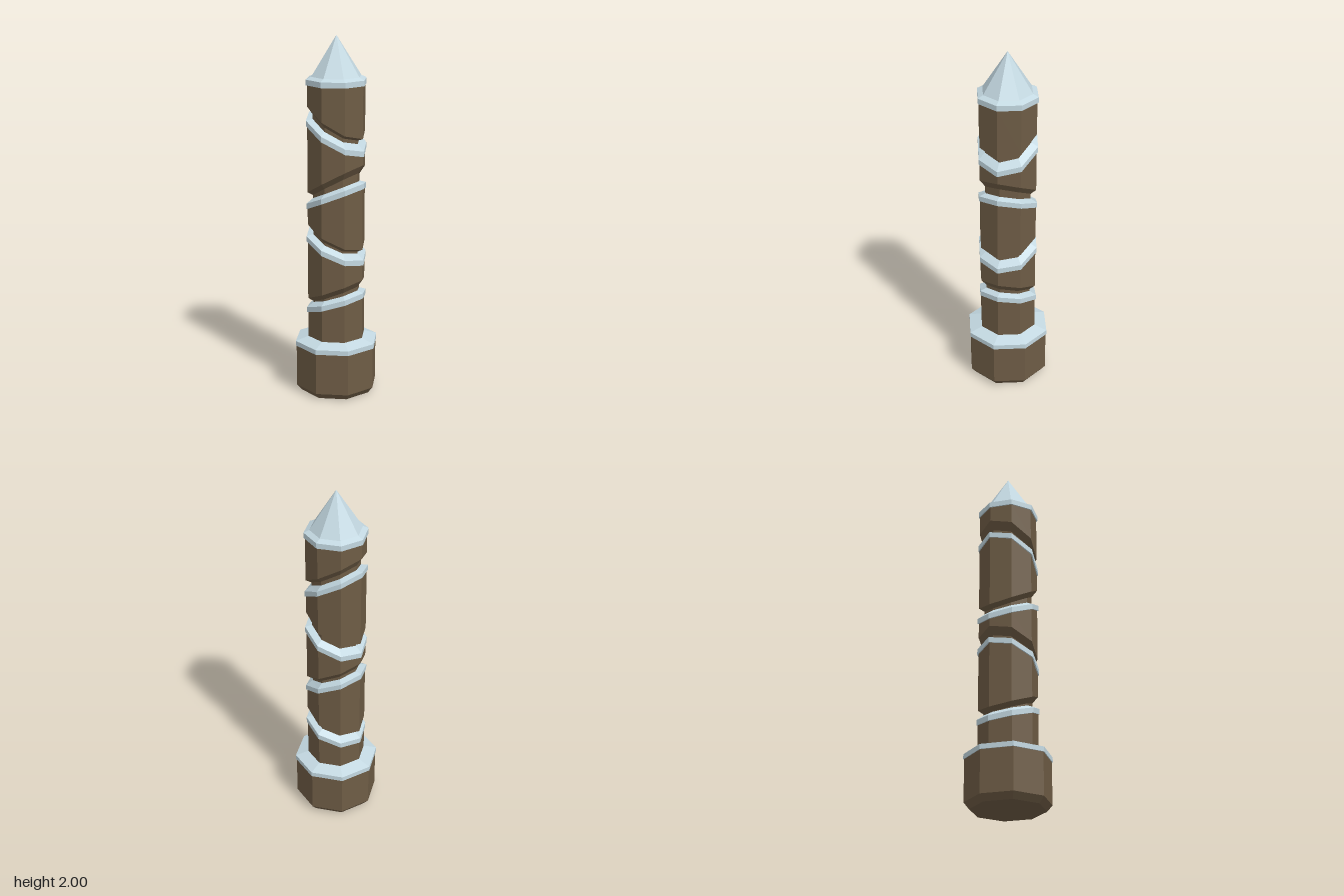
import * as THREE from 'three';

const SIDES = 8;
const wood = new THREE.MeshStandardMaterial({ color: 0x6e5c45 });
wood.name = 'brown wood';
const snow = new THREE.MeshStandardMaterial({ color: 0xc3d8e1 });
snow.name = 'pale snow';

// Faceted skin through octagonal rings [radius, height, tilt], from bottom to top.
// Tilt raises the +x side of the ring and lowers the -x side.
function loft(rings) {
  const point = ([r, y, tilt = 0], i) => {
    const a = ((i % SIDES) / SIDES) * Math.PI * 2;
    return [r * Math.cos(a), y + tilt * Math.cos(a), r * Math.sin(a)];
  };
  const pos = [];
  for (let k = 0; k < rings.length - 1; k++) {
    const lo = rings[k], hi = rings[k + 1];
    for (let i = 0; i < SIDES; i++) {
      const a = point(lo, i), b = point(lo, i + 1), c = point(hi, i + 1), d = point(hi, i);
      if (hi[0] > 0) pos.push(...a, ...d, ...c);
      if (lo[0] > 0) pos.push(...a, ...c, ...b);
    }
  }
  const geo = new THREE.BufferGeometry();
  geo.setAttribute('position', new THREE.Float32BufferAttribute(pos, 3));
  geo.computeVertexNormals();
  return geo;
}

export function createModel() {
  const group = new THREE.Group();
  const add = (name, material, rings) => {
    const mesh = new THREE.Mesh(loft(rings), material);
    mesh.name = name;
    group.add(mesh);
  };

  const R = 0.163, LIP = 0.17, CORE = 0.132, THICK = 0.03;

  // Wide foot with a chamfered underside and a snowy ledge
  add('foot', wood, [[0, 0], [0.203, 0], [0.232, 0.035], [0.232, 0.27]]);
  add('footSnow', snow, [[0.23, 0.27], [0.237, 0.27], [0.237, 0.297], [R, 0.32]]);

  // Slanted notches: snow edge height and tilt, then upper edge height and tilt
  const notches = [
    { snowY: 0.53, snowTilt: 0.055, topY: 0.592, topTilt: 0.067 },
    { snowY: 0.85, snowTilt: -0.075, topY: 0.915, topTilt: -0.08 },
    { snowY: 1.138, snowTilt: 0.071, topY: 1.217, topTilt: 0.092 },
    { snowY: 1.48, snowTilt: -0.095, topY: 1.553, topTilt: -0.1 },
  ];
  const inner = CORE / R;

  // Each shaft section starts at the notch below and ends under the next snow lip
  let start = [[R, 0.31]];
  notches.forEach((n, i) => {
    const under = n.snowY - THICK;
    const snowTop = [CORE, n.snowY + 0.02, n.snowTilt * inner];
    add('shaftSection' + (i + 1), wood, [...start, [R, under, n.snowTilt]]);
    add('notchSnow' + (i + 1), snow, [
      [R - 0.003, under, n.snowTilt], [LIP, under, n.snowTilt],
      [LIP, n.snowY, n.snowTilt], snowTop,
    ]);
    start = [snowTop, [CORE, n.topY - 0.03, n.topTilt * inner], [R, n.topY, n.topTilt]];
  });
  add('shaftTop', wood, [...start, [R, 1.738]]);

  // Snowy rim and pointed tip
  add('tipRim', snow, [[R - 0.003, 1.738], [LIP, 1.738], [LIP, 1.768], [0.14, 1.782]]);
  add('tip', snow, [[0.14, 1.782], [0, 2]]);

  return group;
}
